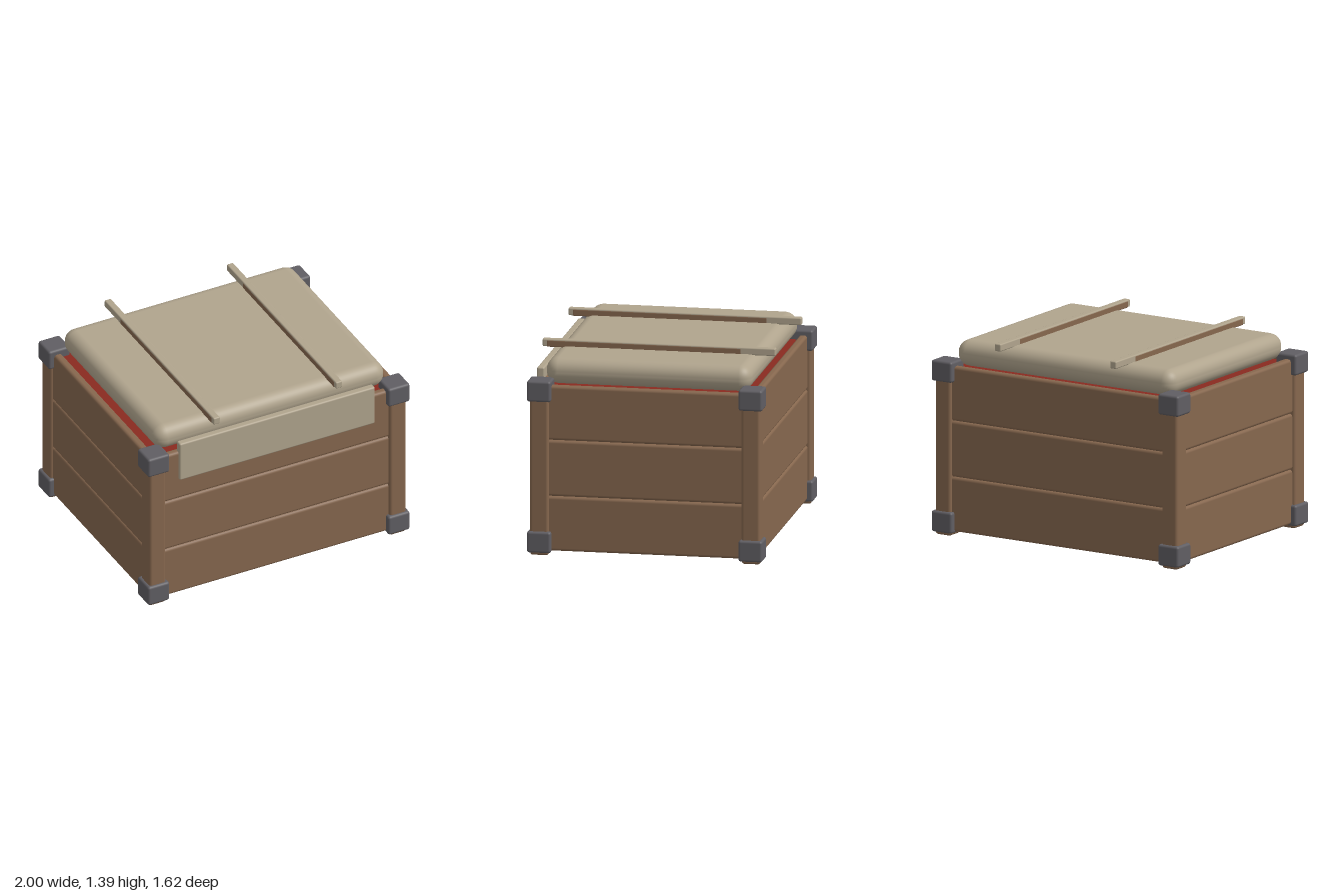
import * as THREE from 'three';
import { RoundedBoxGeometry } from 'three/addons/geometries/RoundedBoxGeometry.js';

const mat = (name, color) => {
  const m = new THREE.MeshStandardMaterial({ color });
  m.name = name;
  return m;
};

export function createModel() {
  const wood = mat('brown wood', 0x86674e);
  const cloth = mat('tan cloth', 0xb0a48d);
  const metal = mat('dark metal', 0x605e63);
  const liner = mat('red liner', 0x8a2a20);
  const model = new THREE.Group();

  // Box from min and max corners, rounded when r > 0
  function block(name, material, [x0, y0, z0], [x1, y1, z1], r = 0, seg = 2) {
    const size = [x1 - x0, y1 - y0, z1 - z0];
    const geo = r ? new RoundedBoxGeometry(...size, seg, r) : new THREE.BoxGeometry(...size);
    const mesh = new THREE.Mesh(geo, material);
    mesh.name = name;
    mesh.position.set((x0 + x1) / 2, (y0 + y1) / 2, (z0 + z1) / 2);
    model.add(mesh);
    return mesh;
  }

  // Corner posts with metal caps at top and bottom
  for (const sx of [-1, 1]) {
    for (const sz of [-1, 1]) {
      const at = (mesh) => mesh.position.set(sx * 0.9175, mesh.position.y, sz * 0.73);
      at(block('cornerPost', wood, [0, 0, 0], [0.125, 1.19, 0.13], 0.02));
      at(block('topCornerCap', metal, [0, 1.07, 0], [0.165, 1.215, 0.165], 0.017));
      at(block('bottomCornerCap', metal, [0, 0.02, 0], [0.165, 0.167, 0.165], 0.017));
    }
  }

  // Three planks on each wall
  const levels = [0.03, 0.41, 0.8, 1.18];
  for (let i = 0; i < 3; i++) {
    const [y0, y1] = [levels[i], levels[i + 1]];
    block('frontPlank', wood, [-0.9, y0, 0.715], [0.9, y1, 0.772], 0.021);
    block('backPlank', wood, [-0.9, y0, -0.772], [0.9, y1, -0.715], 0.021);
    block('leftPlank', wood, [0.9, y0, -0.72], [0.96, y1, 0.72], 0.021);
    block('rightPlank', wood, [-0.96, y0, -0.72], [-0.9, y1, 0.72], 0.021);
  }

  // Recessed floor and inner lining
  block('floor', wood, [-0.91, 0.07, -0.725], [0.91, 0.1, 0.725]);
  block('innerLining', liner, [-0.905, 0.1, -0.72], [0.905, 1.15, 0.72]);

  // Padded lid
  block('cushion', cloth, [-0.88, 1.165, -0.71], [0.88, 1.347, 0.71], 0.085, 4);

  // Front flap
  block('frontFlap', cloth, [-0.748, 0.957, 0.738], [0.745, 1.254, 0.79], 0.012);

  // Two slats across the lid, with wooden undersides
  for (const x of [-0.47, 0.464]) {
    block('slat', cloth, [x - 0.025, 1.34, -0.807], [x + 0.025, 1.392, 0.8], 0.009);
    block('slatUnderside', wood, [x - 0.0265, 1.338, -0.57], [x + 0.0265, 1.384, 0.77], 0.006);
  }

  return model;
}
